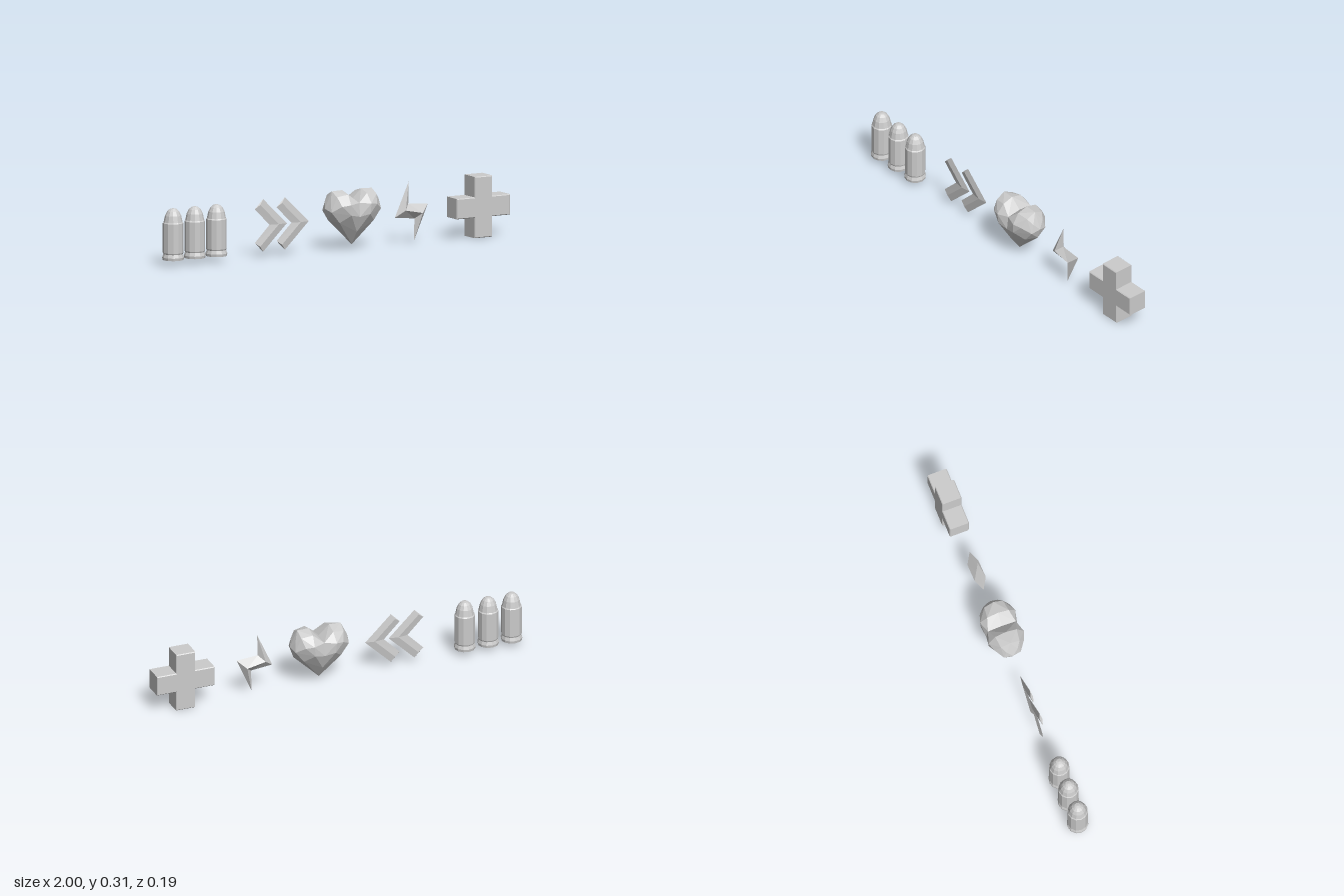
import * as THREE from 'three';
import { ConvexGeometry } from 'three/addons/geometries/ConvexGeometry.js';

const material = new THREE.MeshStandardMaterial({ color: 0xcccccc, flatShading: true });

function part(name, geometry, x = 0, y = 0) {
  const mesh = new THREE.Mesh(geometry, material);
  mesh.name = name;
  mesh.position.set(x, y, 0);
  return mesh;
}

// Thin two-sided plate: rim points lie at z = 0, ridge points at +-depth
function ridgedPlate(rim, ridge, depth, faces) {
  const points = [...rim, ...ridge];
  const positions = [];
  for (const side of [1, -1]) {
    for (const [a, b, c] of faces) {
      const [p, q, r] = [points[a], points[b], points[c]];
      const area = (q[0] - p[0]) * (r[1] - p[1]) - (q[1] - p[1]) * (r[0] - p[0]);
      const order = area * side > 0 ? [a, b, c] : [a, c, b];
      for (const i of order) positions.push(...points[i], i < rim.length ? 0 : side * depth);
    }
  }
  const geometry = new THREE.BufferGeometry();
  geometry.setAttribute('position', new THREE.Float32BufferAttribute(positions, 3));
  geometry.computeVertexNormals();
  return geometry;
}

function bulletGeometry() {
  // Base, rim, groove, case, shoulder and rounded nose
  const profile = [
    [0, 0.027], [0.053, 0.027], [0.055, 0.04], [0.049, 0.057], [0.052, 0.064],
    [0.052, 0.214], [0.048, 0.219], [0.041, 0.252], [0.03, 0.274], [0.016, 0.286], [0, 0.289],
  ].map(([r, y]) => new THREE.Vector2(r, y));
  return new THREE.LatheGeometry(profile, 12);
}

function chevronGeometry() {
  const rim = [[-0.095, 0.086], [-0.046, 0.134], [0.093, 0], [-0.046, -0.134], [-0.095, -0.086], [-0.009, 0]];
  const ridge = [[-0.067, 0.106], [0.043, 0], [-0.067, -0.106]];
  return ridgedPlate(rim, ridge, 0.007, [
    [0, 1, 6], [1, 2, 7], [1, 7, 6], [0, 6, 7], [0, 7, 5],
    [2, 3, 8], [2, 8, 7], [3, 4, 8], [4, 5, 7], [4, 7, 8],
  ]);
}

function boltGeometry() {
  const rim = [[-0.015, 0.155], [-0.097, -0.025], [0.018, -0.037], [0.015, -0.152], [0.097, 0.033], [-0.018, 0.042]];
  const ridge = [[-0.05, 0.012], [0.05, -0.008]];
  return ridgedPlate(rim, ridge, 0.03, [
    [0, 1, 6], [1, 2, 6], [2, 7, 6], [2, 3, 7], [3, 4, 7], [4, 5, 7], [5, 6, 7], [5, 0, 6],
  ]);
}

// One convex lobe of the faceted heart, on the side given by sign
function lobeGeometry(sign) {
  const middle = [[0, 0.02, 0], [0, 0.249, 0], [0.055, 0.3, 0], [0.118, 0.298, 0], [0.157, 0.212, 0], [0.138, 0.152, 0]];
  const front = [
    [0, 0.24, 0.075], [0, 0.17, 0.084], [0, 0.09, 0.05],
    [0.055, 0.284, 0.058], [0.115, 0.275, 0.05], [0.06, 0.235, 0.095], [0.102, 0.228, 0.08],
    [0.055, 0.182, 0.092], [0.14, 0.245, 0.03], [0.145, 0.198, 0.045], [0.1, 0.142, 0.05],
  ];
  const points = [...middle, ...front, ...front.map(([x, y, z]) => [x, y, -z])];
  return new ConvexGeometry(points.map(([x, y, z]) => new THREE.Vector3(x * sign, y, z)));
}

function crossGeometry() {
  const bevel = 0.004, a = 0.052, b = 0.156;
  const corners = [
    [a, a], [a, b], [-a, b], [-a, a], [-b, a], [-b, -a],
    [-a, -a], [-a, -b], [a, -b], [a, -a], [b, -a], [b, a],
  ];
  const shape = new THREE.Shape(corners.map(([x, y]) => new THREE.Vector2(x, y)));
  const depth = 0.104 - 2 * bevel;
  return new THREE.ExtrudeGeometry(shape, {
    depth, bevelThickness: bevel, bevelSize: bevel, bevelOffset: -bevel, bevelSegments: 1,
  }).translate(0, 0, -depth / 2);
}

export function createModel() {
  const model = new THREE.Group();
  model.name = 'pickupIcons';

  // Row of three bullets
  const bullets = new THREE.Group();
  bullets.name = 'bullets';
  for (const x of [-0.947, -0.82, -0.693]) bullets.add(part('bullet', bulletGeometry(), x));

  // Pair of arrowheads pointing along +x
  const chevrons = new THREE.Group();
  chevrons.name = 'chevrons';
  for (const x of [-0.373, -0.245]) chevrons.add(part('chevron', chevronGeometry(), x, 0.158));

  // Heart from two mirrored lobes
  const heart = new THREE.Group();
  heart.name = 'heart';
  heart.add(part('leftLobe', lobeGeometry(1)), part('rightLobe', lobeGeometry(-1)));
  heart.position.x = 0.1;

  const bolt = part('lightningBolt', boltGeometry(), 0.45, 0.158);
  const cross = part('healthCross', crossGeometry(), 0.843, 0.156);
  model.add(bullets, chevrons, heart, bolt, cross);
  return model;
}
